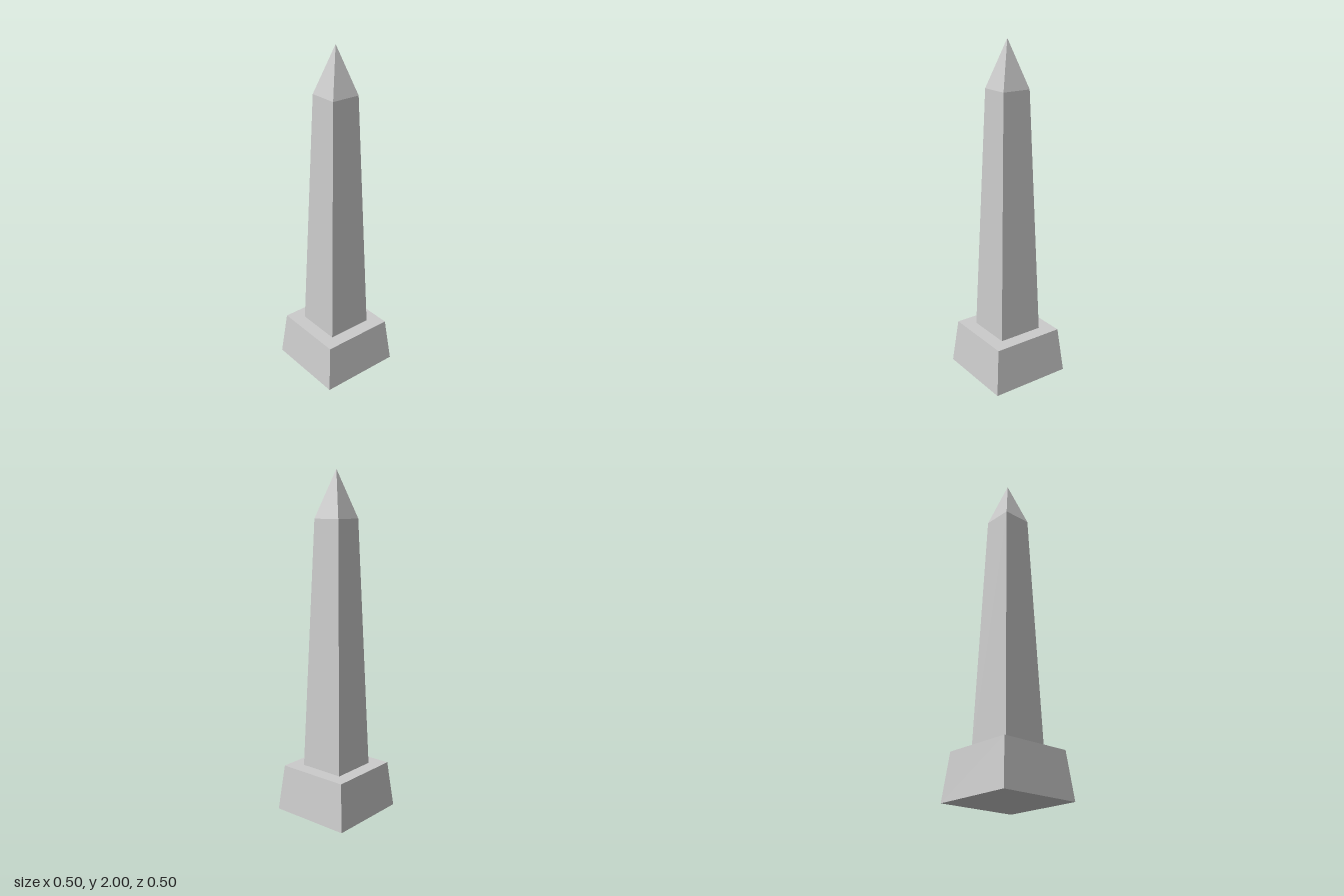
import * as THREE from 'three';

const material = new THREE.MeshStandardMaterial({ color: 0xcccccc, flatShading: true });

// Square tapered block; half-widths at the bottom and top, between two heights
function taperedBlock(name, halfBottom, halfTop, y0, y1, open = false) {
  const geometry = new THREE.CylinderGeometry(
    halfTop * Math.SQRT2, halfBottom * Math.SQRT2, y1 - y0, 4, 1, open);
  geometry.rotateY(Math.PI / 4);
  geometry.translate(0, (y0 + y1) / 2, 0);
  const mesh = new THREE.Mesh(geometry, material);
  mesh.name = name;
  return mesh;
}

export function createModel() {
  const group = new THREE.Group();
  group.name = 'obelisk';
  group.add(
    taperedBlock('pedestal', 0.248, 0.219, 0, 0.275),
    // Shaft and tip meet without inner caps
    taperedBlock('shaft', 0.138, 0.087, 0.275, 1.73, true),
    taperedBlock('pyramidTip', 0.087, 0, 1.73, 2, true),
  );
  return group;
}
